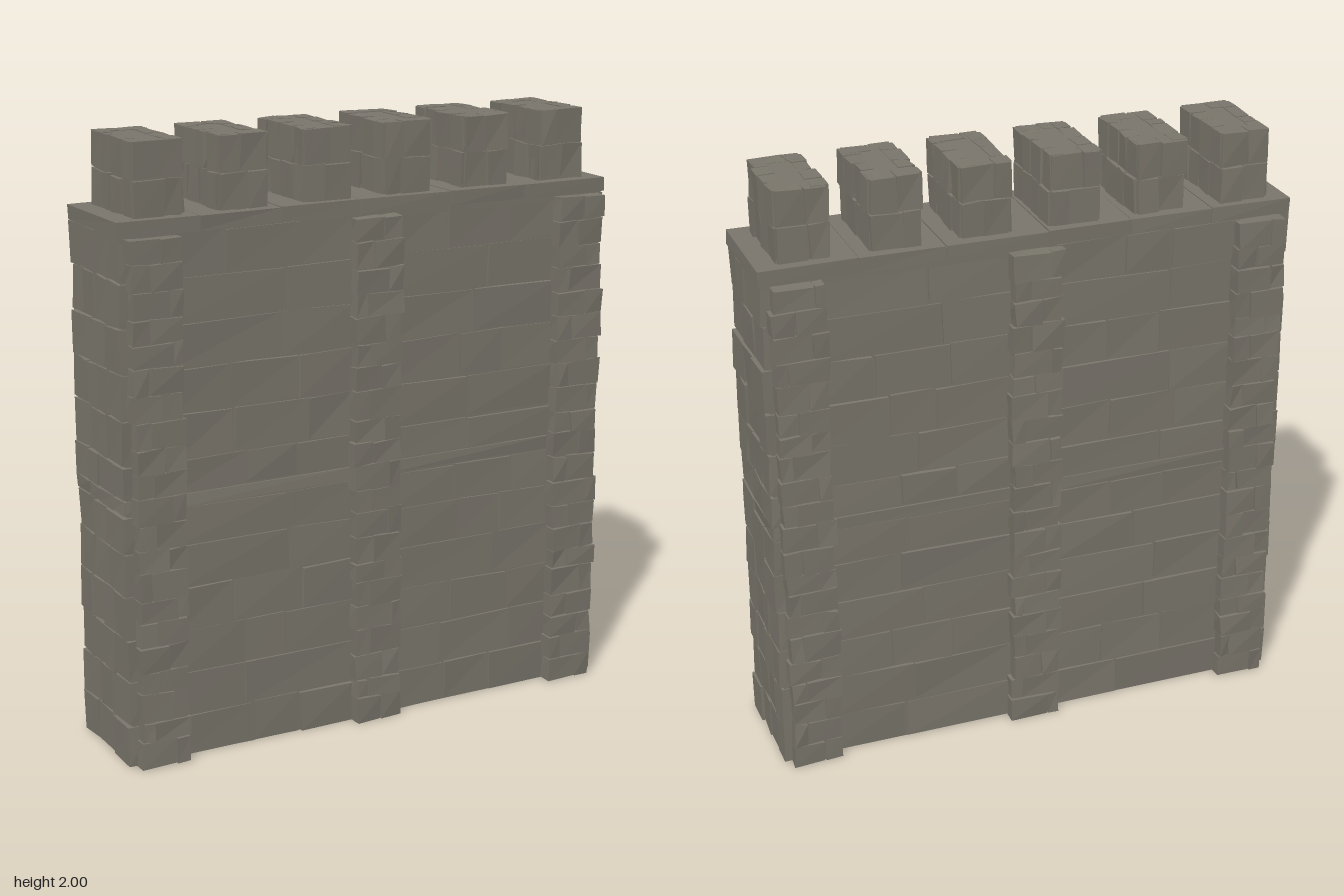
import * as THREE from 'three';
import { mergeGeometries } from 'three/addons/utils/BufferGeometryUtils.js';

export function createModel() {
  const stone = new THREE.MeshStandardMaterial({ color: 0x7a766c, flatShading: true });
  stone.name = 'stone';
  const wall = new THREE.Group();
  wall.name = 'battlementWall';

  let seed = 17;
  const rand = () => {
    seed = (seed * 16807) % 2147483647;
    return seed / 2147483647;
  };
  const vary = (amount) => (rand() * 2 - 1) * amount;

  // A rough stone between two corners: a box whose eight corners wander a little
  function block(x0, x1, y0, y1, z0, z1, rough = 0.004) {
    const g = new THREE.BoxGeometry(x1 - x0, y1 - y0, z1 - z0);
    g.translate((x0 + x1) / 2, (y0 + y1) / 2, (z0 + z1) / 2);
    const shifts = Array.from({ length: 8 }, () => [vary(rough), vary(rough), vary(rough)]);
    const p = g.attributes.position;
    const mx = (x0 + x1) / 2, my = (y0 + y1) / 2, mz = (z0 + z1) / 2;
    for (let i = 0; i < p.count; i++) {
      const s = shifts[(p.getX(i) > mx ? 1 : 0) + (p.getY(i) > my ? 2 : 0) + (p.getZ(i) > mz ? 4 : 0)];
      const y = THREE.MathUtils.clamp(p.getY(i) + s[1], 0, 2);
      p.setXYZ(i, p.getX(i) + s[0], y, p.getZ(i) + s[2]);
    }
    g.computeVertexNormals();
    return g;
  }

  function add(name, geometries, turn = 0) {
    const mesh = new THREE.Mesh(mergeGeometries(geometries), stone);
    mesh.name = name;
    mesh.rotation.y = turn;
    wall.add(mesh);
  }

  // Split a span into n uneven pieces
  function cuts(a, b, n, uneven) {
    const step = (b - a) / n;
    return Array.from({ length: n + 1 }, (_, i) =>
      a + i * step + (i > 0 && i < n ? vary(uneven * step) : 0));
  }

  const gap = 0.003;
  const rows = [0, 0.14, 0.287, 0.43, 0.575, 0.715, 0.84, 0.89, 1.0, 1.145, 1.29, 1.435, 1.58, 1.72];

  // Solid core
  add('core', [block(-0.872, 0.872, 0, 1.73, -0.178, 0.178, 0)]);

  for (const [side, turn] of [['front', 0], ['back', Math.PI]]) {
    // Long ashlar blocks in the two bays
    const bays = [];
    for (const [left, right] of [[-0.71, -0.07], [0.07, 0.71]]) {
      for (let r = 0; r < rows.length - 1; r++) {
        const thin = rows[r + 1] - rows[r] < 0.08;
        const xs = cuts(left, right, thin ? 1 : rand() < 0.55 ? 3 : 2, 0.28);
        for (let i = 0; i < xs.length - 1; i++) {
          bays.push(block(xs[i] + gap, xs[i + 1] - gap, rows[r] + gap, rows[r + 1] - gap,
            0.15, 0.185 + vary(0.003)));
        }
      }
    }
    add(side + 'BayStones', bays, turn);

    // Three buttress strips of small stones
    const strips = [];
    for (const cx of [-0.775, 0, 0.775]) {
      const ys = cuts(0, 1.715, 21, 0.12);
      for (let r = 0; r < 21; r++) {
        const split = cx + (r % 2 ? -0.03 : 0.03) + vary(0.02);
        const xs = [cx - 0.085 + vary(0.006), split, cx + 0.085 + vary(0.006)];
        for (let i = 0; i < 2; i++) {
          strips.push(block(xs[i] + gap / 2, xs[i + 1] - gap / 2, ys[r] + gap / 2, ys[r + 1] - gap / 2,
            0.15, 0.229 + vary(0.004), 0.004));
        }
      }
      strips.push(block(cx - 0.078, cx + 0.078, 0, 1.71, 0.15, 0.218, 0));
    }
    add(side + 'ButtressStones', strips, turn);
  }

  // Short stones on the two ends, wrapping the corners
  for (const [side, turn] of [['left', 0], ['right', Math.PI]]) {
    const stones = [];
    for (let r = 0; r < rows.length - 1; r++) {
      const zs = cuts(-0.187, 0.187, rand() < 0.6 ? 3 : 4, 0.2);
      for (let i = 0; i < zs.length - 1; i++) {
        stones.push(block(0.8, 0.885 + vary(0.004), rows[r] + gap, rows[r + 1] - gap,
          zs[i] + gap / 2, zs[i + 1] - gap / 2, 0.004));
      }
    }
    add(side + 'EndStones', stones, turn);
  }

  // Walkway slabs along the top
  const slabX = [-0.89, -0.61, -0.33, -0.05, 0.29, 0.57, 0.89];
  const slabs = [block(-0.88, 0.88, 1.7, 1.76, -0.185, 0.185, 0)];
  for (let i = 0; i < slabX.length - 1; i++) {
    slabs.push(block(slabX[i] + 0.001, slabX[i + 1] - 0.001, 1.718, 1.767, -0.19, 0.19, 0.002));
  }
  add('walkwaySlabs', slabs);

  // Merlons: a core ringed by two courses of rough stones
  [-0.735, -0.445, -0.15, 0.145, 0.44, 0.735].forEach((cx, n) => {
    const parts = [block(cx - 0.078, cx + 0.078, 1.76, 1.997, -0.145, 0.145, 0)];
    for (const [y0, y1] of [[1.767, 1.882], [1.886, 2]]) {
      for (const s of [-1, 1]) {
        // Long sides
        const zs = cuts(-0.15, 0.15, 4, 0.2);
        for (let i = 0; i < 4; i++) {
          const xa = cx + s * 0.035, xb = cx + s * (0.087 + vary(0.006));
          parts.push(block(Math.min(xa, xb), Math.max(xa, xb), y0, y1,
            zs[i] + gap, zs[i + 1] - gap, 0.004));
        }
        // Front and back ends
        const xs = cuts(cx - 0.082, cx + 0.082, 2, 0.35);
        for (let i = 0; i < 2; i++) {
          const za = s * 0.1, zb = s * (0.158 + vary(0.005));
          parts.push(block(xs[i] + gap / 2, xs[i + 1] - gap / 2, y0, y1,
            Math.min(za, zb), Math.max(za, zb), 0.004));
        }
      }
    }
    add('merlon' + (n + 1), parts);
  });

  return wall;
}
